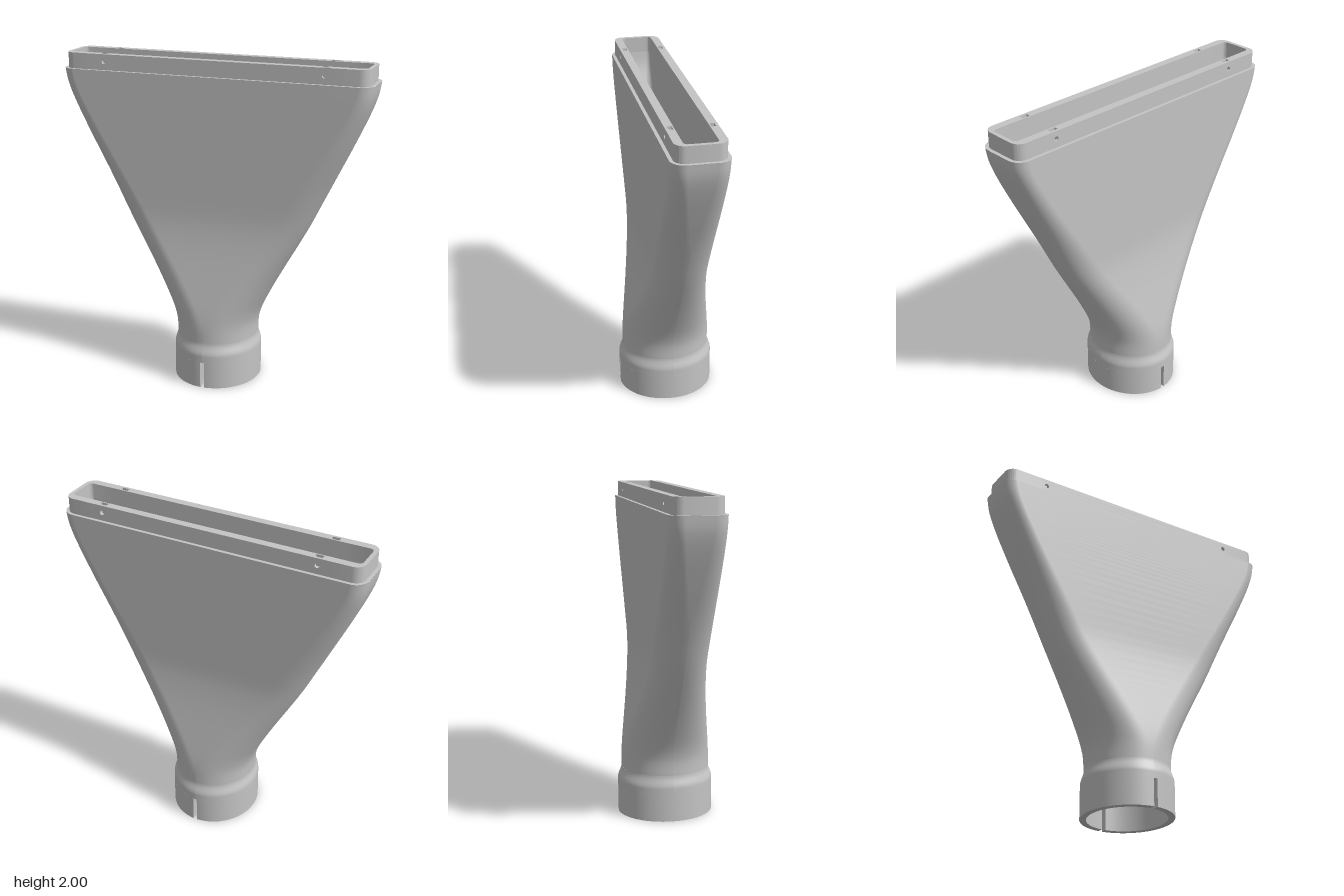
import * as THREE from 'three';
import { toCreasedNormals } from 'three/addons/utils/BufferGeometryUtils.js';

const ARC = 16; // steps per rounded corner

// Rounded-rectangle ring at height y: half length a, half width b, corner radii rx and rz
function ring(a, b, rx, rz, y) {
  const pts = [];
  const corners = [[1, 1], [-1, 1], [-1, -1], [1, -1]];
  corners.forEach(([sx, sz], q) => {
    for (let i = 0; i <= ARC; i++) {
      const t = (q + i / ARC) * Math.PI / 2;
      pts.push([sx * (a - rx) + rx * Math.cos(t), y, sz * (b - rz) + rz * Math.sin(t)]);
    }
  });
  return pts;
}
const TINY = 2e-4; // keeps neighbouring corners of an oval apart
const oval = ([u, v], y) => ring(u, v, u - TINY, v - TINY, y);

// Skin over a list of rings; the order of the rings decides which way it faces
function loft(rings) {
  const n = rings[0].length, index = [];
  for (let j = 0; j < rings.length - 1; j++) {
    for (let i = 0; i < n; i++) {
      const k = (i + 1) % n, p = j * n, u = p + n;
      index.push(p + i, u + i, p + k, p + k, u + i, u + k);
    }
  }
  const g = new THREE.BufferGeometry();
  g.setAttribute('position', new THREE.Float32BufferAttribute(rings.flat(2), 3));
  g.setIndex(index);
  g.computeVertexNormals();
  return g;
}

const extrude = (shape, depth) =>
  new THREE.ExtrudeGeometry(shape, { depth, bevelEnabled: false, curveSegments: 32 });
const polygon = (points) => new THREE.Shape(points.map(([x, y]) => new THREE.Vector2(x, y)));
const { lerp } = THREE.MathUtils;

// Oval radii along and across the mouth
const COLLAR = [0.268, 0.294], BORE = [0.23, 0.254], NECK = [0.25, 0.272], THROAT = [0.21, 0.226];
const SLOT_TOP = 0.165, NECK_Y = 0.285, RIM = 1.905, TOP = 2;
const BODY = { a: 0.955, b: 0.162, r: 0.08 };
const LIP = { a: 0.934, b: 0.142, r: 0.06 };
const MOUTH = { a: 0.91, b: 0.093, r: 0.025 };

// Body section for blend s: the width narrows early, the diagonal reach grows evenly
function section(s, y, inside) {
  const narrow = 1 - Math.pow(1 - Math.min(1, s / 0.42), 1.5);
  const b = lerp(NECK[1], BODY.b, narrow);
  const rx = lerp(NECK[0], BODY.r, s);
  const rz = Math.min(b, lerp(NECK[1], BODY.r, s));
  const reach = lerp(0.2612, 0.757, s);
  const a = rx + (reach - Math.hypot(rx, rz) * Math.SQRT1_2) * Math.SQRT2 - (b - rz);
  if (!inside) return ring(a, b, rx - TINY, rz - TINY, y);
  const dr = BODY.r - MOUTH.r;
  const innerA = a - lerp(NECK[0] - THROAT[0], BODY.a - MOUTH.a, s);
  const innerB = b - lerp(NECK[1] - THROAT[1], BODY.b - MOUTH.b, s);
  const innerRx = Math.min(innerA, rx - lerp(NECK[0] - THROAT[0], dr, s));
  const innerRz = Math.min(innerB, rz - lerp(NECK[1] - THROAT[1], dr, s));
  return ring(innerA, innerB, innerRx - TINY, innerRz - TINY, y);
}

export function createModel() {
  const group = new THREE.Group();
  const grey = new THREE.MeshStandardMaterial({ color: 0xc4c4c4 });
  const add = (name, geometry) => {
    const mesh = new THREE.Mesh(geometry, grey);
    mesh.name = name;
    group.add(mesh);
    return mesh;
  };

  // Flare: x is the blend from oval neck to long mouth, y is the height
  const flare = new THREE.SplineCurve([
    [0, NECK_Y], [0.012, 0.4], [0.077, 0.545], [0.235, 0.8], [0.52, 1.2],
    [0.77, 1.52], [0.91, 1.71], [0.975, 1.82], [1, RIM],
  ].map(([s, y]) => new THREE.Vector2(s, y))).getPoints(56)
    .map(({ x, y }) => [THREE.MathUtils.clamp(x, 0, 1), y]);

  // Body shell, outside and inside
  add('bodyOutside', loft(flare.map(([s, y]) => section(s, y, false))));
  add('bodyInside', loft([
    ...flare.map(([s, y]) => section(s, y, true)).reverse(), oval(THROAT, 0.2),
  ]));
  add('bodyRim', loft([
    ring(BODY.a, BODY.b, BODY.r, BODY.r, RIM), ring(LIP.a, LIP.b, LIP.r, LIP.r, RIM),
  ]));

  // Collar above the slots, with its soft shoulder, inner ledge and underside
  const shoulder = [oval(COLLAR, SLOT_TOP)];
  for (let i = 0; i <= 8; i++) {
    const t = (1 - Math.cos(Math.PI * i / 8)) / 2;
    shoulder.push(oval([0, 1].map((k) => lerp(COLLAR[k], NECK[k], t)), lerp(0.205, NECK_Y, i / 8)));
  }
  add('collarShoulder', loft(shoulder));
  add('collarLedge', loft([oval(THROAT, 0.2), oval(BORE, 0.2)]));
  add('collarBore', loft([oval(BORE, 0.2), oval(BORE, SLOT_TOP)]));
  add('collarUnderside', loft([oval(BORE, SLOT_TOP), oval(COLLAR, SLOT_TOP)]));

  // Two half rings leave a narrow slot on either side
  const half = new THREE.Shape();
  const outerEnd = Math.acos(0.012 / COLLAR[0]);
  const innerEnd = Math.acos(0.012 / BORE[0]);
  half.absellipse(0, 0, ...COLLAR, -outerEnd, outerEnd, false);
  half.absellipse(0, 0, ...BORE, innerEnd, -innerEnd, true);
  const halfGeometry = toCreasedNormals(extrude(half, SLOT_TOP).rotateX(-Math.PI / 2), 0.6);

  // Rounded end of the top lip
  const JOIN = 0.74;
  const end = new THREE.Shape();
  end.moveTo(JOIN, -MOUTH.b);
  end.lineTo(JOIN, -LIP.b);
  end.absarc(LIP.a - LIP.r, -LIP.b + LIP.r, LIP.r, -Math.PI / 2, 0, false);
  end.absarc(LIP.a - LIP.r, LIP.b - LIP.r, LIP.r, 0, Math.PI / 2, false);
  end.lineTo(JOIN, LIP.b);
  end.lineTo(JOIN, MOUTH.b);
  end.absarc(MOUTH.a - MOUTH.r, MOUTH.b - MOUTH.r, MOUTH.r, Math.PI / 2, 0, true);
  end.absarc(MOUTH.a - MOUTH.r, -MOUTH.b + MOUTH.r, MOUTH.r, 0, -Math.PI / 2, true);
  const endGeometry = toCreasedNormals(
    extrude(end, TOP - RIM).rotateX(-Math.PI / 2).translate(0, RIM, 0), 0.6);

  // Long side of the lip in three layers: solid, nut pockets, screw holes
  const HOLE_X = 0.677, POCKET = 0.023, FLOOR = 1.93;
  const base = [[-JOIN, RIM], [JOIN, RIM], [JOIN, TOP]];
  const notch = (x) => [
    [x + POCKET, TOP], [x + POCKET, FLOOR], [x - POCKET, FLOOR], [x - POCKET, TOP],
  ];
  const solid = polygon([...base, [-JOIN, TOP]]);
  const notched = polygon([...base, ...notch(HOLE_X), ...notch(-HOLE_X), [-JOIN, TOP]]);
  const drilled = solid.clone();
  for (const x of [-HOLE_X, HOLE_X]) {
    drilled.holes.push(new THREE.Path().absarc(x, 1.955, 0.014, 0, Math.PI * 2, true));
  }
  const layers = [
    ['lipInnerLayer', solid, MOUTH.b, 0.101],
    ['lipPocketLayer', notched, 0.101, 0.126],
    ['lipOuterLayer', drilled, 0.126, LIP.b],
  ].map(([name, shape, z0, z1]) => [name, extrude(shape, z1 - z0).translate(0, 0, z0)]);

  // Everything that repeats on the opposite side
  for (const turn of [0, Math.PI]) {
    add('slottedCollarHalf', halfGeometry).rotation.y = turn;
    add('lipEnd', endGeometry).rotation.y = turn;
    for (const [name, geometry] of layers) add(name, geometry).rotation.y = turn;
  }

  // The long mouth runs diagonally
  group.rotation.y = -Math.PI / 4;
  group.name = 'nozzle';
  const model = new THREE.Group();
  model.name = 'flatNozzle';
  model.add(group);
  return model;
}
